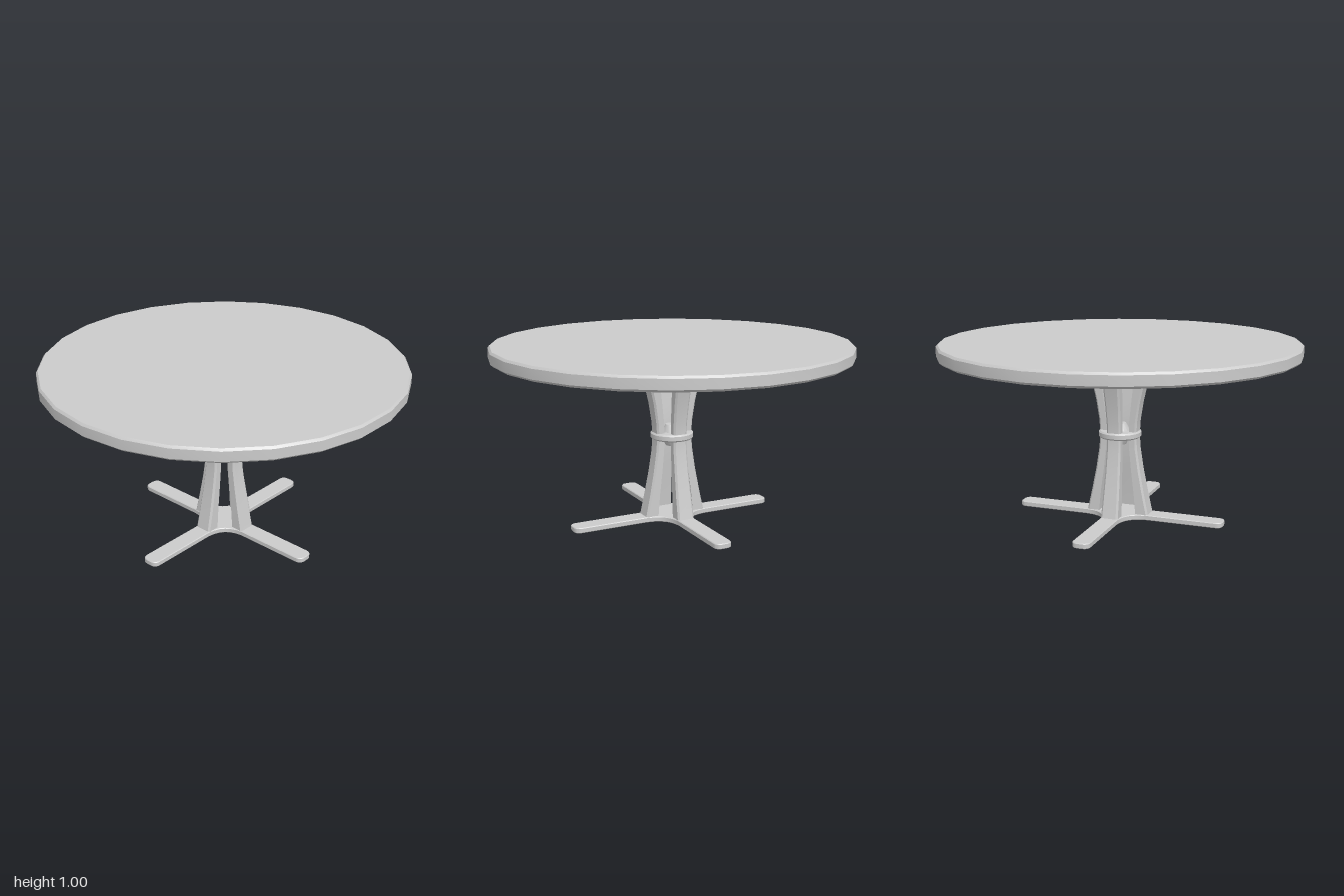
import * as THREE from 'three';
import { toCreasedNormals } from 'three/addons/utils/BufferGeometryUtils.js';

const material = new THREE.MeshStandardMaterial({ color: 0xcccccc });

function addMesh(group, name, geometry) {
  const mesh = new THREE.Mesh(toCreasedNormals(geometry, 0.5), material);
  mesh.name = name;
  group.add(mesh);
  return mesh;
}

// Turned part: profile of [radius, y] from bottom to top, with a corner on +x
function turned(profile, sides) {
  const points = profile.map(([r, y]) => new THREE.Vector2(r, y));
  return new THREE.LatheGeometry(points, sides, Math.PI / 2);
}

// Curved slat lofted from stations of [y, inner, outer, half width]
function slatGeometry() {
  const stations = [
    [0.02, 0.11, 0.183, 0.05], [0.15, 0.098, 0.155, 0.047], [0.28, 0.081, 0.13, 0.043],
    [0.4, 0.069, 0.112, 0.041], [0.48, 0.066, 0.107, 0.04], [0.56, 0.069, 0.112, 0.041],
    [0.67, 0.082, 0.129, 0.044], [0.78, 0.095, 0.154, 0.047], [0.9, 0.108, 0.186, 0.05],
  ];
  const c = 0.01; // chamfer on the outer corners
  const positions = [], index = [], n = 6;
  for (const [y, a, b, w] of stations) {
    const section = [[a, w], [b - c, w], [b, w - c], [b, c - w], [b - c, -w], [a, -w]];
    for (const [x, z] of section) positions.push(x, y, z);
  }
  for (let s = 0; s < stations.length - 1; s++) {
    for (let i = 0; i < n; i++) {
      const p = s * n + i, q = s * n + (i + 1) % n;
      index.push(p, q, q + n, p, q + n, p + n);
    }
  }
  const top = (stations.length - 1) * n;
  for (let i = 1; i < n - 1; i++) {
    index.push(0, i + 1, i, top, top + i, top + i + 1);
  }
  const geometry = new THREE.BufferGeometry();
  geometry.setAttribute('position', new THREE.Float32BufferAttribute(positions, 3));
  geometry.setIndex(index);
  geometry.computeVertexNormals();
  return geometry;
}

// Flat cross with rounded tips and concave fillets between the arms
function crossGeometry() {
  const bevel = 0.004, w = 0.05 - bevel, end = 0.608 - bevel, r = 0.035, f = 0.18;
  const shape = new THREE.Shape();
  for (let k = 0; k < 4; k++) {
    const turn = (x, y) => {
      const v = new THREE.Vector2(x, y).rotateAround(new THREE.Vector2(), k * Math.PI / 2);
      return [v.x, v.y];
    };
    if (k === 0) shape.moveTo(...turn(f, -w));
    shape.lineTo(...turn(end - r, -w));
    shape.quadraticCurveTo(...turn(end, -w), ...turn(end, -w + r));
    shape.lineTo(...turn(end, w - r));
    shape.quadraticCurveTo(...turn(end, w), ...turn(end - r, w));
    shape.lineTo(...turn(f, w));
    shape.quadraticCurveTo(...turn(w * 1.2, w * 1.2), ...turn(w, f));
  }
  const geometry = new THREE.ExtrudeGeometry(shape, {
    depth: 0.03 - 2 * bevel, curveSegments: 6,
    bevelThickness: bevel, bevelSize: bevel, bevelSegments: 1,
  });
  return geometry.rotateX(-Math.PI / 2).translate(0, bevel, 0);
}

export function createModel() {
  const group = new THREE.Group();
  group.name = 'pedestalTable';

  // Round top with bevelled rim
  addMesh(group, 'tableTop', turned([
    [0, 0.922], [0.985, 0.922], [1, 0.935], [1, 0.988], [0.99, 1], [0, 1],
  ], 26));

  // Mounting plate under the top
  addMesh(group, 'mountingPlate', turned([
    [0, 0.887], [0.195, 0.887], [0.215, 0.893], [0.228, 0.906], [0.236, 0.924], [0, 0.924],
  ], 26));

  // Collar around the waist, with a small core inside it
  addMesh(group, 'collar', turned([
    [0, 0.461], [0.112, 0.461], [0.12, 0.469], [0.12, 0.492], [0.112, 0.5], [0, 0.5],
  ], 26));
  addMesh(group, 'core', turned([
    [0, 0.42], [0.035, 0.42], [0.062, 0.47], [0.062, 0.49], [0.035, 0.54], [0, 0.54],
  ], 16));

  // Four curved slats on the axes
  const slat = slatGeometry();
  for (let i = 0; i < 4; i++) {
    addMesh(group, 'columnSlat', slat).rotation.y = i * Math.PI / 2;
  }

  // Cross-shaped foot
  addMesh(group, 'crossFoot', crossGeometry());
  return group;
}
